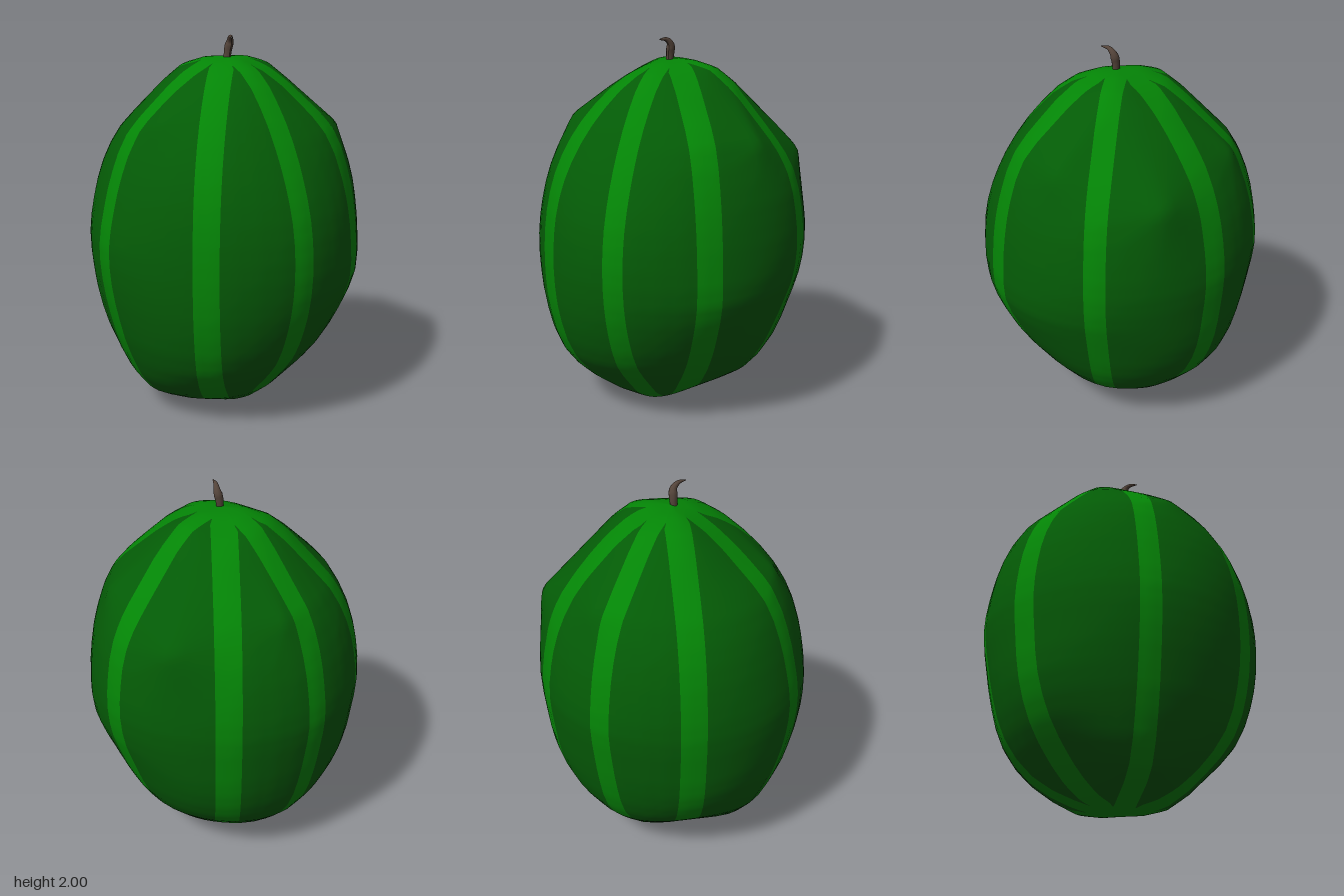
import * as THREE from 'three';
import { ConvexGeometry } from 'three/addons/geometries/ConvexGeometry.js';

const rindMat = new THREE.MeshStandardMaterial({ color: 0x045b06 });
rindMat.name = 'darkGreenRind';
const stripeMat = new THREE.MeshStandardMaterial({ color: 0x048506 });
stripeMat.name = 'brightGreenStripe';
const stemMat = new THREE.MeshStandardMaterial({ color: 0x54443a });
stemMat.name = 'brownStem';

// Radius from the fruit's middle, at elevations -75..75 in steps of 15 degrees,
// for eight headings turning from +z towards +x
const CENTRE = 0.95, BOTTOM = 0.95, TOP = 0.935;
const PROFILES = [
  [.945, .865, .83, .788, .76, .745, .742, .748, .778, .835, .91],
  [.90, .83, .78, .75, .745, .72, .725, .76, .815, .84, .90],
  [.89, .87, .806, .745, .735, .735, .745, .775, .79, .83, .93],
  [.95, .89, .84, .78, .73, .72, .725, .75, .785, .835, .90],
  [.935, .92, .86, .783, .741, .74, .745, .775, .815, .83, .915],
  [.94, .89, .85, .80, .75, .74, .745, .77, .80, .83, .92],
  [.945, .965, .87, .79, .75, .735, .727, .75, .795, .82, .88],
  [.95, .92, .875, .80, .745, .72, .725, .75, .785, .83, .89],
].map(p => [BOTTOM, ...p, TOP]);

// Blunt corners that stand out between those headings
const CORNERS = [[.57, 1.52, .22], [.11, 1.52, -.59], [.61, 1.4, -.32], [-.5, 1.585, .17], [-.25, 1.37, -.61]];

// Catmull-Rom interpolation of four neighbouring values
function cubic(a, b, c, d, t) {
  return b + 0.5 * t * (c - a + t * (2 * a - 5 * b + 4 * c - d + t * (3 * (b - c) + d - a)));
}

function profileRadius(theta, phi) {
  const e = Math.min(11.9999, Math.max(0, (phi / Math.PI + 0.5) * 12));
  const h = theta / (Math.PI / 4), ei = Math.floor(e), hi = Math.floor(h);
  const at = k => {
    const p = PROFILES[((hi + k) % 8 + 8) % 8];
    const v = i => p[i < 0 ? -i : i > 12 ? 24 - i : i];
    return cubic(v(ei - 1), v(ei), v(ei + 1), v(ei + 2), e - ei);
  };
  return cubic(at(-1), at(0), at(1), at(2), h - hi);
}

function heading(theta, phi) {
  return new THREE.Vector3(Math.cos(phi) * Math.sin(theta), Math.sin(phi), Math.cos(phi) * Math.cos(theta));
}

// Planes of the convex hull, which bridge every hollow with a flat facet
function hullPlanes() {
  const pts = [new THREE.Vector3(0, -BOTTOM, 0), new THREE.Vector3(0, TOP, 0)];
  for (const [x, y, z] of CORNERS) pts.push(new THREE.Vector3(x, y - CENTRE, z));
  for (let j = 1; j < 24; j++) {
    for (let i = 0; i < 40; i++) {
      const t = i / 40 * 2 * Math.PI, p = (j / 24 - 0.5) * Math.PI;
      pts.push(heading(t, p).multiplyScalar(profileRadius(t, p)));
    }
  }
  const pos = new ConvexGeometry(pts).attributes.position, planes = [];
  for (let i = 0; i < pos.count; i += 3) {
    const tri = new THREE.Triangle().setFromAttributeAndIndices(pos, i, i + 1, i + 2);
    if (tri.getArea() > 1e-7) planes.push(tri.getPlane(new THREE.Plane()));
  }
  return planes;
}
const PLANES = hullPlanes();

function radius(theta, phi) {
  const d = heading(theta, phi);
  let r = 2;
  for (const { normal, constant } of PLANES) {
    const along = normal.dot(d);
    if (along > 0.05) r = Math.min(r, -constant / along);
  }
  return r;
}

// Stripe headings and half widths: four on the axes, four between
const DEG = Math.PI / 180;
const STRIPES = [0, 38, 90, 142, 180, 218, 270, 321].map((d, i) => ({ angle: d * DEG, half: i % 2 ? 0.066 : 0.055 }));
const STRIPE_SEGS = 4, GAP_SEGS = 10, ROWS = 72;

// Column headings on one row; stripes keep their width and merge near the ends
function columns(phi) {
  const out = [], closed = [];
  const spread = s => Math.asin(Math.min(1, s.half / Math.max(1e-4, radius(s.angle, phi) * Math.cos(phi))));
  const gaps = STRIPES.map((s, i) => {
    const n = STRIPES[(i + 1) % 8], next = n.angle + (i === 7 ? 2 * Math.PI : 0);
    const lo = s.angle + spread(s), hi = next - spread(n);
    const mid = (s.angle + next) / 2;
    closed.push(hi - lo < 0.02);
    return closed[i] ? [mid - 0.01, mid + 0.01] : [lo, hi];
  });
  gaps.forEach(([lo, hi], i) => {
    const start = i ? gaps[i - 1][1] : gaps[7][1] - 2 * Math.PI;
    for (let k = 0; k < STRIPE_SEGS; k++) out.push(start + (lo - start) * k / STRIPE_SEGS);
    for (let k = 0; k < GAP_SEGS; k++) out.push(lo + (hi - lo) * k / GAP_SEGS);
  });
  return { out, closed };
}

function makeFruit() {
  const per = STRIPE_SEGS + GAP_SEGS, cols = per * 8;
  const pos = [], rind = [], stripe = [], closedRows = [];
  for (let r = 0; r <= ROWS; r++) {
    const phi = (-89.5 + 179 * r / ROWS) * DEG;
    const { out, closed } = columns(phi);
    closedRows.push(closed);
    for (const t of out) {
      const p = heading(t, phi).multiplyScalar(radius(t, phi));
      pos.push(p.x, CENTRE + p.y, p.z);
    }
  }
  for (let r = 0; r < ROWS; r++) {
    for (let c = 0; c < cols; c++) {
      const a = r * cols + c, b = r * cols + (c + 1) % cols;
      const k = Math.floor(c / per);
      const isGap = c % per >= STRIPE_SEGS && !(closedRows[r][k] && closedRows[r + 1][k]);
      (isGap ? rind : stripe).push(a, b, b + cols, a, b + cols, a + cols);
    }
  }
  // Caps at both ends
  const low = pos.length / 3, high = low + 1, last = ROWS * cols;
  pos.push(0, CENTRE - BOTTOM, 0, 0, CENTRE + TOP, 0);
  for (let c = 0; c < cols; c++) {
    const n = (c + 1) % cols;
    stripe.push(low, n, c, high, last + c, last + n);
  }
  const geo = new THREE.BufferGeometry();
  geo.setAttribute('position', new THREE.Float32BufferAttribute(pos, 3));
  geo.setIndex([...rind, ...stripe]);
  geo.addGroup(0, rind.length, 0);
  geo.addGroup(rind.length, stripe.length, 1);
  geo.computeVertexNormals();
  const mesh = new THREE.Mesh(geo, [rindMat, stripeMat]);
  mesh.name = 'stripedFruit';
  return mesh;
}

// Curled stem: a tube swelling a little, then narrowed towards its tip
function makeStem() {
  const curve = new THREE.CatmullRomCurve3([
    [-0.002, 1.87, 0.018], [0.003, 1.92, 0.02], [0.008, 1.96, 0.03], [-0.004, 1.985, 0.055], [-0.025, 1.988, 0.1],
  ].map(p => new THREE.Vector3(...p)));
  const segs = 20, sides = 10;
  const geo = new THREE.TubeGeometry(curve, segs, 0.022, sides);
  const p = geo.attributes.position, v = new THREE.Vector3();
  for (let i = 0; i < p.count; i++) {
    const t = Math.floor(i / (sides + 1)) / segs;
    const c = curve.getPointAt(t);
    v.fromBufferAttribute(p, i).sub(c).multiplyScalar(t < 0.4 ? 0.85 + 0.5 * t : 1.05 - 0.95 * (t - 0.4) / 0.6).add(c);
    p.setXYZ(i, v.x, v.y, v.z);
  }
  geo.computeVertexNormals();
  const mesh = new THREE.Mesh(geo, stemMat);
  mesh.name = 'stem';
  return mesh;
}

export function createModel() {
  const group = new THREE.Group();
  group.name = 'melon';
  group.add(makeFruit(), makeStem());
  return group;
}
